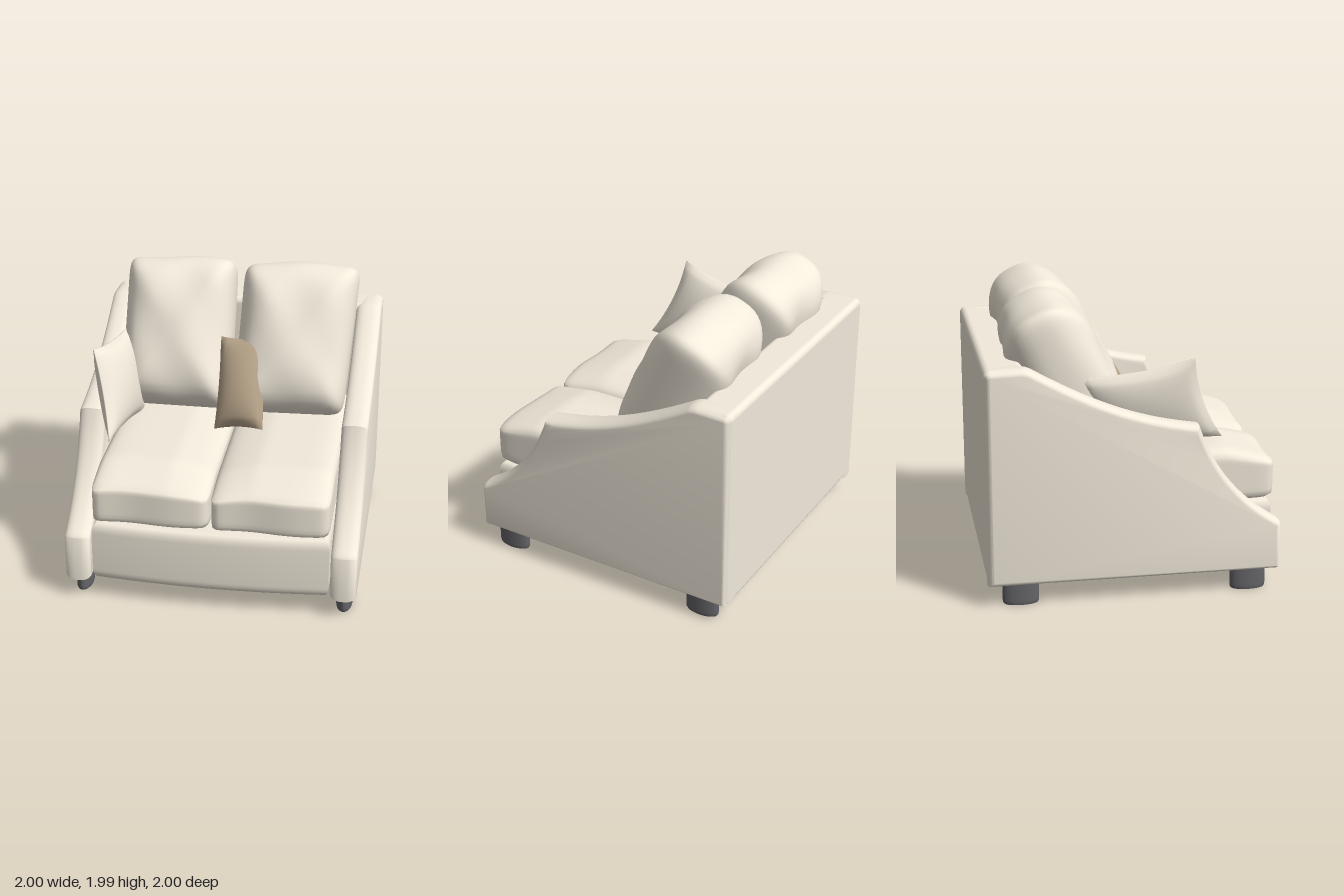
import * as THREE from 'three';
import { mergeVertices, toCreasedNormals } from 'three/addons/utils/BufferGeometryUtils.js';
import { RoundedBoxGeometry } from 'three/addons/geometries/RoundedBoxGeometry.js';

const fabric = new THREE.MeshStandardMaterial({ color: 0xf2eadb });
const brown = new THREE.MeshStandardMaterial({ color: 0xb5a288 });
const dark = new THREE.MeshStandardMaterial({ color: 0x66666a });
const vec = (a) => new THREE.Vector3(...a);

// Bends a cube of side 2 by a rule, then lays it along axes u and v with half thickness t
function softBody(name, rule, segs, centre, u, v, t, material) {
  let geo = new THREE.BoxGeometry(2, 2, 2, ...segs);
  geo.deleteAttribute('normal');
  geo.deleteAttribute('uv');
  const pos = geo.attributes.position, p = new THREE.Vector3();
  for (let i = 0; i < pos.count; i++) {
    p.fromBufferAttribute(pos, i);
    rule(p);
    pos.setXYZ(i, p.x, p.y, p.z);
  }
  const U = vec(u), V = vec(v), N = new THREE.Vector3().crossVectors(U, V).setLength(t);
  geo.applyMatrix4(new THREE.Matrix4().makeBasis(U, V, N).setPosition(vec(centre)));
  geo = mergeVertices(geo, 1e-4);
  geo.computeVertexNormals();
  const mesh = new THREE.Mesh(geo, material);
  mesh.name = name;
  return mesh;
}

// Superellipsoid: a squares the outline, b squares the thickness
function inflate(p, a, b) {
  const outline = Math.abs(p.x) ** a + Math.abs(p.y) ** a;
  p.divideScalar((outline ** (b / a) + Math.abs(p.z) ** b) ** (1 / b));
}

// flare widens the outer top corner
const backCushionRule = (phase, flare) => (p) => {
  inflate(p, 12, 2.6);
  p.z *= 1 + 0.05 * Math.sin(5 * p.x + phase) * Math.cos(4 * p.y + phase);
  if (p.z > 0) p.z *= 1 - 0.08 * p.y;
  p.y += 0.025 * Math.sin(3 * p.x + phase) * Math.max(p.y, 0);
  p.x += flare * Math.max(p.x, 0) * p.y;
};

const seatCushionRule = (side) => (p) => {
  inflate(p, 20, 12);
  // crowned top that slopes down to the front edge and to the middle seam
  if (p.z > 0) {
    const front = Math.max(-p.y - 0.6, 0) / 0.4, seam = Math.max(-side * p.x - 0.3, 0) / 0.7;
    p.z *= 1 - 0.42 * front - 0.3 * seam * (1 - 0.5 * front) - 0.15 * Math.abs(p.x) ** 6;
  }
  p.y += 0.012 * Math.sin(4 * p.x) * p.y;
};

// Thin pillow with a pinched seam and drawn-out corners
const throwPillowRule = (pinch) => (p) => {
  const { x, y } = p, ex = 1 - x * x, ey = 1 - y * y;
  p.z *= 0.04 + 0.96 * Math.sqrt(ex * ey);
  p.x = x * (1 - pinch * ey);
  p.y = y * (1 - pinch * ex);
};

function extrude(shape, depth, bevelSize, bevelThickness) {
  const geo = new THREE.ExtrudeGeometry(shape, {
    depth: depth - 2 * bevelThickness, bevelSize, bevelThickness,
    bevelOffset: -bevelSize, bevelSegments: 6, curveSegments: 16,
  });
  return geo.translate(0, 0, bevelThickness - depth / 2);
}

// Side outline of an arm, drawn with -z along the shape's x
function armGeometry() {
  const s = new THREE.Shape();
  s.moveTo(-0.98, 0.14);
  s.lineTo(-0.98, 0.47);
  s.quadraticCurveTo(-0.97, 0.49, -0.93, 0.51);
  s.quadraticCurveTo(-0.56, 0.74, -0.41, 1.18);
  s.bezierCurveTo(-0.05, 1.235, 0.22, 1.32, 0.68, 1.59);
  s.quadraticCurveTo(0.72, 1.615, 0.77, 1.615);
  s.lineTo(0.95, 1.61);
  s.quadraticCurveTo(1, 1.61, 1, 1.56);
  s.lineTo(1, 0.14);
  s.closePath();
  return toCreasedNormals(extrude(s, 0.18, 0.04, 0.075).rotateY(Math.PI / 2), 0.7);
}

// Plan of the seat base, bowed out at the front
function baseGeometry() {
  const s = new THREE.Shape();
  s.moveTo(-0.81, -0.8);
  s.lineTo(0.81, -0.8);
  s.lineTo(0.81, 0.95);
  s.quadraticCurveTo(0, 1.04, -0.81, 0.95);
  s.closePath();
  return toCreasedNormals(extrude(s, 0.425, 0.035, 0.07).rotateX(Math.PI / 2), 0.6);
}

// Oval stub leg with a softened foot
function legGeometry() {
  const profile = [[0, 0], [0.93, 0], [0.99, 0.012], [1, 0.03], [1, 0.17]];
  const geo = new THREE.LatheGeometry(profile.map(([r, y]) => new THREE.Vector2(r, y)), 32);
  return toCreasedNormals(geo.scale(0.056, 1, 0.122), 0.6);
}

export function createModel() {
  const model = new THREE.Group();
  model.name = 'armchair';
  const add = (name, geo, material, x, y, z) => {
    const mesh = new THREE.Mesh(geo, material);
    mesh.name = name;
    mesh.position.set(x, y, z);
    model.add(mesh);
  };

  // Frame: base, back, arms and legs
  add('seatBase', baseGeometry(), fabric, 0, 0.362, 0);
  add('backrest', new RoundedBoxGeometry(1.98, 1.47, 0.27, 5, 0.045), fabric, 0, 0.875, -0.865);
  const arm = armGeometry(), leg = legGeometry();
  for (const [side, label] of [[1, 'left'], [-1, 'right']]) {
    add(label + 'Arm', arm, fabric, side * 0.91, 0, 0);
    add(label + 'FrontLeg', leg, dark, side * 0.91, 0, 0.77);
    add(label + 'BackLeg', leg, dark, side * 0.91, 0, -0.78);

    // Seat cushions
    model.add(softBody(label + 'SeatCushion', seatCushionRule(side), [24, 30, 12],
      [side * 0.406, 0.765, 0.135], [0.4, 0, 0], [0, 0, -0.835], 0.185, fabric));
  }

  // Leaning back cushions
  model.add(softBody('rightBackCushion', backCushionRule(0.4, 0), [24, 26, 14],
    [-0.435, 1.445, -0.42], [0.393, 0, 0], [-0.005, 0.485, -0.235], 0.32, fabric));
  model.add(softBody('leftBackCushion', backCushionRule(1.4, 0.05), [24, 26, 14],
    [0.412, 1.455, -0.39], [0.405, 0, -0.02], [0.012, 0.485, -0.235], 0.32, fabric));

  // Loose pillows
  model.add(softBody('sidePillow', throwPillowRule(0.1), [18, 18, 2],
    [-0.775, 1.265, 0.11], [-0.04, 0.06, 0.39], [-0.07, 0.29, -0.11], 0.1, fabric));
  model.add(softBody('smallPillow', throwPillowRule(0.06), [14, 18, 2],
    [0.07, 1.235, -0.05], [0.175, 0.018, 0.02], [0, 0.29, -0.16], 0.12, brown));
  return model;
}
